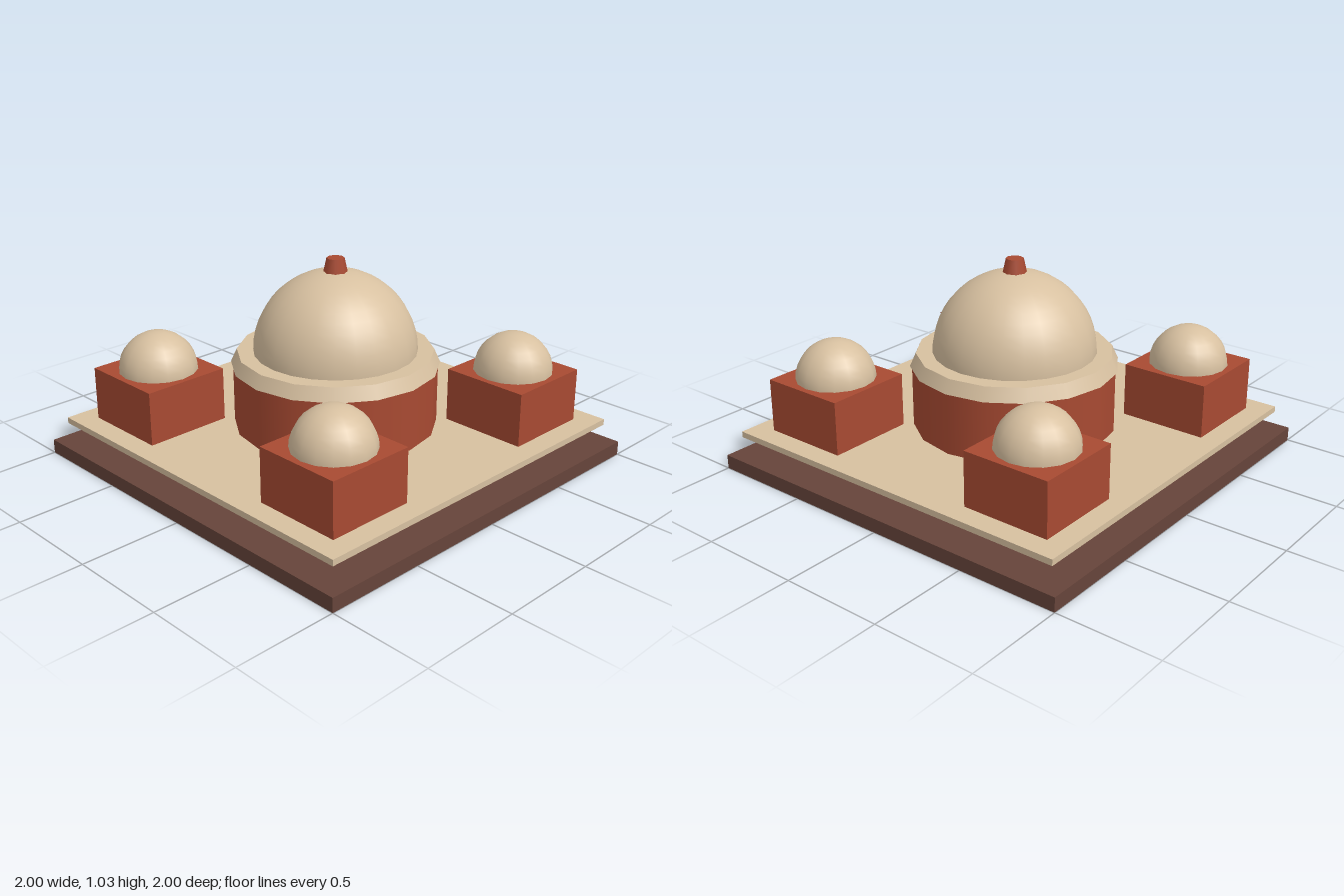
import * as THREE from 'three';

const material = (color) => new THREE.MeshStandardMaterial({ color });

export function createModel() {
  const model = new THREE.Group();
  const brick = material(0xa84a32);
  const sand = material(0xd7c0a0);
  const earth = material(0x66443a);
  const copper = material(0xd0590f);

  const add = (name, geometry, mat, x, y, z) => {
    const mesh = new THREE.Mesh(geometry, mat);
    mesh.name = name;
    mesh.position.set(x, y, z);
    model.add(mesh);
    return mesh;
  };
  // Box and round frustum placed by their bottom and top heights
  const box = (name, w, y0, y1, mat, x = 0, z = 0) =>
    add(name, new THREE.BoxGeometry(w, y1 - y0, w), mat, x, (y0 + y1) / 2, z);
  const drum = (name, rTop, rBottom, y0, y1, sides, mat) =>
    add(name, new THREE.CylinderGeometry(rTop, rBottom, y1 - y0, sides), mat, 0, (y0 + y1) / 2, 0);
  const dome = (name, r, sides, rings, x, y, z) =>
    add(name, new THREE.SphereGeometry(r, sides, rings, 0, Math.PI * 2, 0, Math.PI / 2), sand, x, y, z);

  // Foundation and raised floor
  box('foundation', 2, 0, 0.07, earth);
  box('floorSlab', 1.885, 0.163, 0.193, sand);

  // Grid of short pillars under the floor
  for (let i = 0; i < 7; i++) {
    for (let j = 0; j < 7; j++) {
      box('floorPillar', 0.066, 0.07, 0.148, earth, -0.78 + i * 0.25, -0.78 + j * 0.25);
    }
  }

  // Two heating pipes running from side to side
  for (const z of [-0.333, 0.333]) {
    add('pipe', new THREE.CylinderGeometry(0.021, 0.021, 1.665, 8), copper, 0, 0.099, z)
      .rotation.z = Math.PI / 2;
  }

  // Central hall with cornice, dome and finial
  drum('hallWall', 0.5, 0.5, 0.193, 0.507, 16, brick);
  drum('cornice', 0.48, 0.51, 0.5, 0.566, 16, sand);
  dome('mainDome', 0.4, 24, 12, 0, 0.564, 0);
  drum('finial', 0.043, 0.061, 0.945, 1.027, 8, brick);

  // Four corner rooms with small domes
  for (const x of [-0.612, 0.612]) {
    for (const z of [-0.612, 0.612]) {
      box('cornerRoom', 0.445, 0.193, 0.46, brick, x, z);
      dome('cornerDome', 0.194, 16, 8, x, 0.458, z);
    }
  }

  return model;
}
